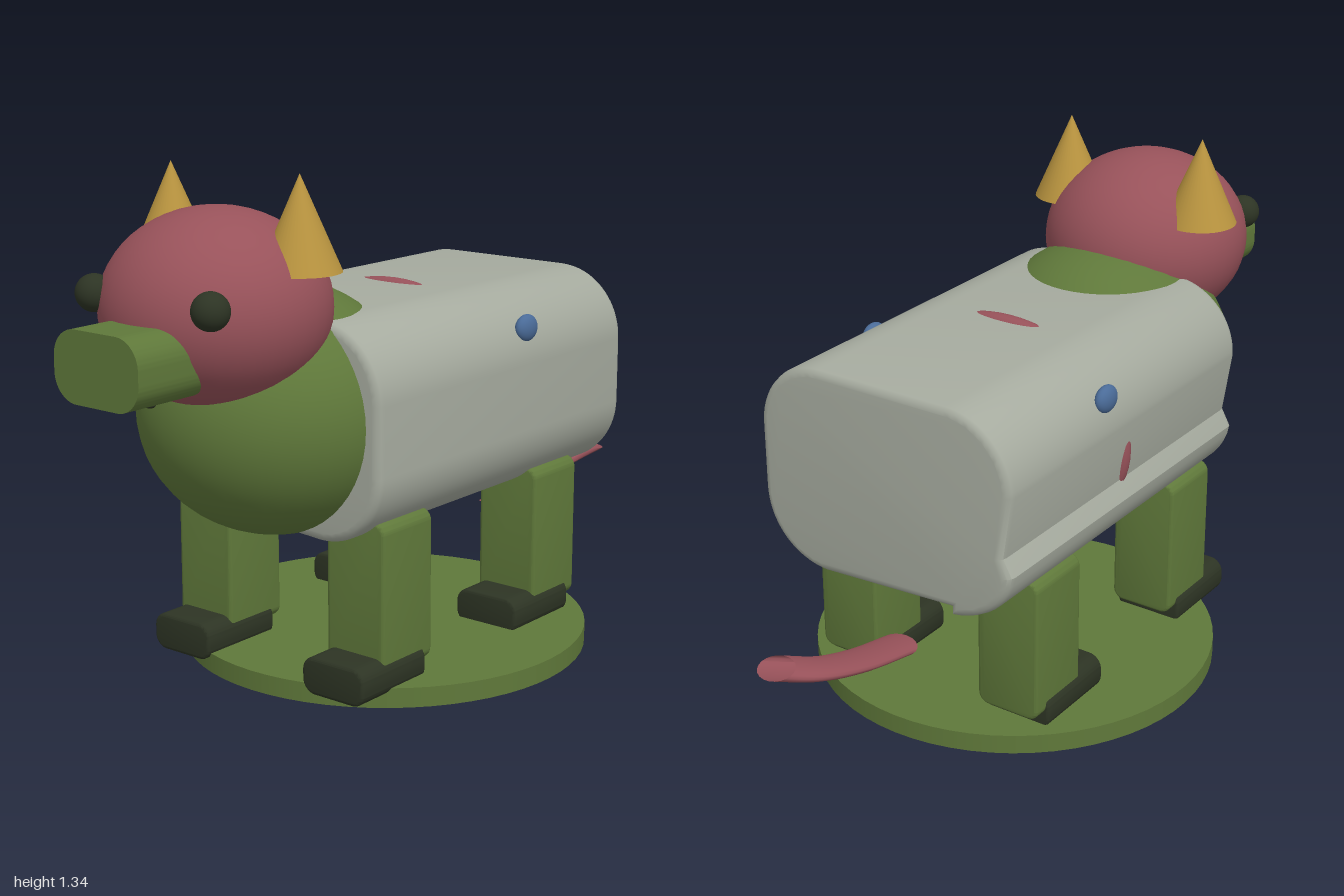
import * as THREE from 'three';
import { toCreasedNormals } from 'three/addons/utils/BufferGeometryUtils.js';

const paint = (name, color) => {
  const m = new THREE.MeshStandardMaterial({ color });
  m.name = name;
  return m;
};

export function createModel() {
  const group = new THREE.Group();
  const green = paint('green', 0x5f783a);
  const grey = paint('grey', 0xa6ab9f);
  const red = paint('red', 0x98525a);
  red.side = THREE.DoubleSide; // the tail is an open tube
  const gold = paint('gold', 0xb9943f);
  const dark = paint('darkGreen', 0x2d3424);
  const blue = paint('blue', 0x4a6b98);

  const add = (name, geometry, material, x = 0, y = 0, z = 0) => {
    const mesh = new THREE.Mesh(geometry, material);
    mesh.name = name;
    mesh.position.set(x, y, z);
    group.add(mesh);
    return mesh;
  };
  const ball = (name, material, pos, radii) =>
    add(name, new THREE.SphereGeometry(1, 40, 28), material, ...pos).scale.set(...radii);

  // Extrudes a shape along z between z0 and z1, with bevelled ends kept inside the outline
  const extrude = (shape, z0, z1, bevel) => {
    const g = new THREE.ExtrudeGeometry(shape, {
      depth: z1 - z0 - 2 * bevel, curveSegments: 10, bevelEnabled: bevel > 0,
      bevelThickness: bevel, bevelSize: bevel, bevelOffset: -bevel, bevelSegments: 3,
    });
    g.translate(0, 0, z0 + bevel);
    return toCreasedNormals(g, 0.6);
  };
  const roundedRect = (w, h, r) => {
    const s = new THREE.Shape();
    const x = w / 2 - r, y = h / 2 - r;
    s.absarc(x, -y, r, -Math.PI / 2, 0);
    s.absarc(x, y, r, 0, Math.PI / 2);
    s.absarc(-x, y, r, Math.PI / 2, Math.PI);
    s.absarc(-x, -y, r, Math.PI, Math.PI * 1.5);
    s.closePath();
    return s;
  };

  // Round stand
  add('base', new THREE.CylinderGeometry(0.545, 0.545, 0.052, 64), green, 0, 0.026, -0.045);

  // Barrel body with a shallow groove low on one flank
  const body = new THREE.Shape();
  body.moveTo(0.1, 0.42);
  body.absarc(0.19, 0.61, 0.19, -Math.PI / 2, 0);
  body.absarc(0.19, 0.785, 0.19, 0, Math.PI / 2);
  body.absarc(-0.19, 0.785, 0.19, Math.PI / 2, Math.PI);
  body.lineTo(-0.355, 0.62);
  body.lineTo(-0.38, 0.575);
  body.bezierCurveTo(-0.37, 0.49, -0.29, 0.43, -0.2, 0.42);
  body.lineTo(-0.2, 0.443);
  body.closePath();
  add('body', extrude(body, -0.613, 0.455, 0.022), grey);

  // Band around the body, just breaking the surface
  add('band', new THREE.TorusGeometry(0.26, 0.03, 16, 72), red, 0, 0.695, -0.077).scale.x = 1.29;

  // Chest and head
  ball('chest', green, [0, 0.725, 0.395], [0.345, 0.32, 0.35]);
  ball('head', red, [0, 1.008, 0.603], [0.281, 0.242, 0.284]);
  add('snout', extrude(roundedRect(0.272, 0.175, 0.07), 0.72, 1, 0), green, 0, 0.918, 0);

  // Mirrored parts
  for (const side of [-1, 1]) {
    ball('eye', dark, [side * 0.188, 1.05, 0.82], [0.046, 0.046, 0.046]);
    ball('nostril', dark, [side * 0.055, 0.829, 0.885], [0.014, 0.01, 0.014]);
    ball('sideSpot', blue, [side * 0.362, 0.878, -0.175], [0.022, 0.036, 0.041]);
    add('horn', new THREE.ConeGeometry(0.1, 0.23, 40), gold, side * 0.208, 1.22, 0.535);

    // Legs are front and back pairs with wider feet
    for (const z of [0.2, -0.45]) {
      add('leg', extrude(roundedRect(0.182, 0.395, 0.03), z, z + 0.195, 0.008), green, side * 0.255, 0.278, 0);
    }
    for (const [z, y] of [[0.235, 0.08], [-0.41, 0.085]]) {
      add('foot', extrude(roundedRect(0.196, 0.098, 0.038), z, z + 0.252, 0.008), dark, side * 0.257, y, 0);
    }
  }

  // Tail: a round tube flattened vertically
  const squash = 0.25;
  const path = new THREE.CatmullRomCurve3([
    [0, 0.2475, -0.565], [0, 0.285, -0.73], [0.018, 0.322, -0.86], [0.06, 0.3575, -0.955],
  ].map(([x, y, z]) => new THREE.Vector3(x, y / squash, z)));
  const tail = new THREE.TubeGeometry(path, 32, 0.055, 20, false);
  tail.scale(1, squash, 1);
  tail.computeVertexNormals();
  add('tail', tail, red);

  return group;
}
